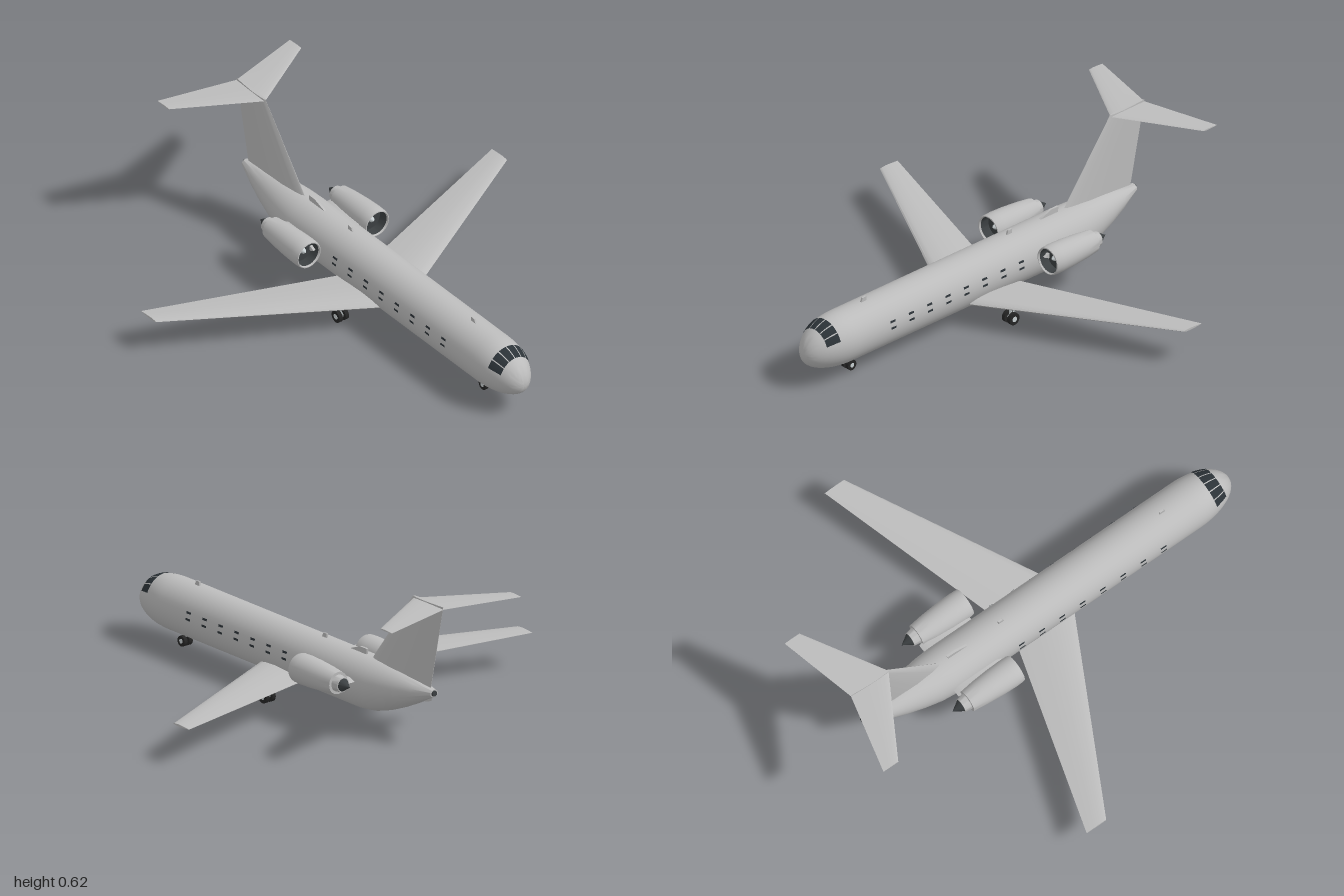
import * as THREE from 'three';
import { toCreasedNormals } from 'three/addons/utils/BufferGeometryUtils.js';

const paint = (name, color) => Object.assign(new THREE.MeshStandardMaterial({ color, side: THREE.DoubleSide }), { name });

// Closed solid through matching rings of [x, y, z], always wound outwards
function loft(rings, crease = 0.6) {
  const n = rings[0].length, pos = rings.flat(2), tris = [];
  rings.slice(1).forEach((_, i) => {
    for (let j = 0; j < n; j++) {
      const a = i * n + j, b = i * n + (j + 1) % n;
      tris.push([a, b, b + n], [a, b + n, a + n]);
    }
  });
  [0, rings.length - 1].forEach((r, end) => {
    const c = [0, 1, 2].map(k => rings[r].reduce((s, p) => s + p[k], 0) / n);
    const id = pos.length / 3;
    pos.push(...c);
    for (let j = 0; j < n; j++) {
      const a = r * n + j, b = r * n + (j + 1) % n;
      tris.push(end ? [id, a, b] : [id, b, a]);
    }
  });
  const v = i => new THREE.Vector3(pos[i * 3], pos[i * 3 + 1], pos[i * 3 + 2]);
  const volume = tris.reduce((s, [a, b, c]) => s + v(a).dot(v(b).cross(v(c))), 0);
  const geo = new THREE.BufferGeometry();
  geo.setAttribute('position', new THREE.Float32BufferAttribute(pos, 3));
  geo.setIndex(tris.flatMap(([a, b, c]) => (volume < 0 ? [a, c, b] : [a, b, c])));
  return toCreasedNormals(geo, crease);
}

// Flat upright plate from a [z, y] outline
const plate = (outline, x, half) =>
  loft([x - half, x + half].map(px => outline.map(([z, y]) => [px, y, z])));

// Aerofoil outline: [chord fraction, thickness fraction]
const upper = [[0, 0], [0.03, 0.4], [0.12, 0.75], [0.35, 1], [0.65, 0.7], [1, 0.06]];
const foil = [...upper, ...upper.slice(1).reverse().map(([u, t]) => [u, -t])];

// Tail stations: z, half width, bottom, top
const tail = [
  [-0.44, 0.109, 0.057, 0.286], [-0.52, 0.103, 0.067, 0.285], [-0.6, 0.09, 0.092, 0.281],
  [-0.68, 0.073, 0.126, 0.274], [-0.76, 0.051, 0.165, 0.263], [-0.855, 0.02, 0.217, 0.249],
];

// Fuselage section at z
function section(z) {
  if (z > 0.78) {
    const t = Math.min(1, (z - 0.78) / 0.215);
    return { rx: 0.109 * Math.sqrt(1 - t * t), ry: 0.1145 * Math.sqrt(1 - t ** 2.3), cy: 0.1715 - 0.018 * t ** 4 };
  }
  let i = 0;
  while (i < tail.length - 2 && z < tail[i + 1][0]) i++;
  const k = THREE.MathUtils.clamp((tail[i][0] - z) / (tail[i][0] - tail[i + 1][0]), 0, 1);
  const [, w, lo, hi] = tail[i].map((s, q) => s + (tail[i + 1][q] - s) * k);
  return { rx: w, ry: (hi - lo) / 2, cy: (hi + lo) / 2 };
}
function skin(z, a, lift = 0) {
  const { rx, ry, cy } = section(z);
  return [(rx + lift) * Math.cos(a), cy + (ry + lift) * Math.sin(a), z];
}

// Thin pane that follows the fuselage skin
function pane(z0, z1, a0, a1) {
  const geo = new THREE.PlaneGeometry(1, 1, 6, 6), p = geo.attributes.position;
  for (let i = 0; i < p.count; i++) {
    const a = a0 + (a1 - a0) * (p.getY(i) + 0.5), z = z1 + (z0 - z1) * (p.getX(i) + 0.5);
    p.setXYZ(i, ...skin(z, a, 0.0025));
  }
  geo.computeVertexNormals();
  return geo;
}

// Turned part along z from [radius, z], listed rear to front
const turned = pts =>
  toCreasedNormals(new THREE.LatheGeometry(pts.map(p => new THREE.Vector2(...p)), 32).rotateX(Math.PI / 2), 0.6);

export function createModel() {
  const model = new THREE.Group();
  model.name = 'jetAirliner';
  const grey = paint('bodyGrey', 0xbcbcbc);
  const dark = paint('darkGrey', 0x3c4042);
  const glass = paint('windowGlass', 0x2c3338);
  const black = paint('tyreBlack', 0x252525);
  const light = paint('lightMetal', 0xc9d0d2);
  const add = (name, geo, mat, x = 0, y = 0, z = 0, parent = model) => {
    const mesh = new THREE.Mesh(geo, mat);
    mesh.name = name;
    mesh.position.set(x, y, z);
    parent.add(mesh);
    return mesh;
  };

  // Fuselage
  const zs = tail.map(s => s[0]).reverse();
  zs.push(0.2);
  for (let i = 0; i <= 14; i++) zs.push(0.78 + 0.2149 * Math.sin(i / 14 * Math.PI / 2));
  add('fuselage', loft(zs.map(z => Array.from({ length: 40 }, (_, j) => skin(z, j / 40 * Math.PI * 2))), 0.9), grey);
  add('tailExhaust', new THREE.CylinderGeometry(0.012, 0.014, 0.008, 16).rotateX(-Math.PI / 2), dark, 0, 0.233, -0.857);
  add('tailSkid', plate([[-0.8, 0.2], [-0.8, 0.185], [-0.83, 0.193], [-0.84, 0.21]], 0, 0.006), grey);

  // Cockpit and cabin windows
  for (let i = 0; i < 6; i++) {
    const a = 0.38 + i * 0.397;
    add('cockpitWindow', pane(0.87, 0.93, a + 0.025, a + 0.372), glass);
  }
  for (let i = 0; i < 8; i++) {
    const z = 0.59 - i * 0.1025;
    for (const [lo, hi] of [[0.27, 0.35], [0.025, 0.105]]) {
      add('cabinWindowLeft', pane(z - 0.014, z + 0.014, lo, hi), glass);
      add('cabinWindowRight', pane(z - 0.014, z + 0.014, Math.PI - hi, Math.PI - lo), glass);
    }
  }

  // Tail fin: y, leading z, trailing z, half thickness
  const finStations = [[0.225, -0.42, -0.828, 0.02], [0.285, -0.465, -0.842, 0.018], [0.624, -0.722, -0.914, 0.008]];
  add('tailFin', loft(finStations.map(([y, le, te, h]) => foil.map(([u, t]) => [t * h, y, le + (te - le) * u]))), grey);
  add('dorsalIntake', plate([[-0.32, 0.28], [-0.335, 0.29], [-0.39, 0.31], [-0.43, 0.31], [-0.425, 0.28]], 0, 0.005), grey);

  // Aerials
  add('frontAerial', plate([[0.675, 0.28], [0.665, 0.303], [0.645, 0.305], [0.645, 0.28]], 0, 0.004), grey);
  add('midAerial', plate([[-0.14, 0.28], [-0.15, 0.303], [-0.17, 0.305], [-0.17, 0.28]], 0, 0.004), grey);
  add('bellyAerial', plate([[0.265, 0.065], [0.24, 0.033], [0.23, 0.033], [0.23, 0.065]], 0, 0.004), grey);

  // Wheel pair with hubs
  const wheelPair = (name, x, z, r, gap) => {
    const gear = new THREE.Group();
    gear.name = name;
    gear.position.set(x, r, z);
    model.add(gear);
    for (const s of [-1, 1]) {
      add('tyre', new THREE.CylinderGeometry(r, r, 0.017, 24).rotateZ(Math.PI / 2), black, s * gap, 0, 0, gear);
      add('hub', new THREE.CylinderGeometry(r * 0.45, r * 0.45, 0.019, 16).rotateZ(Math.PI / 2), light, s * gap, 0, 0, gear);
    }
    add('axle', new THREE.CylinderGeometry(0.004, 0.004, gap * 2, 10).rotateZ(Math.PI / 2), light, 0, 0, 0, gear);
    add('strut', new THREE.CylinderGeometry(0.006, 0.006, 0.085, 12), light, 0, 0.0425, 0, gear);
  };
  wheelPair('noseGear', 0, 0.74, 0.023, 0.0135);

  for (const s of [-1, 1]) {
    const side = s > 0 ? 'left' : 'right';
    // Wing and tailplane stations: x, y, leading z, trailing z, half thickness
    const surface = stations =>
      loft(stations.map(([x, y, le, te, h]) => foil.map(([u, t]) => [s * x, y + t * h, le + (te - le) * u])));
    add(side + 'Wing', surface([[0.03, 0.107, 0.182, -0.112, 0.021], [0.11, 0.111, 0.14, -0.137, 0.02], [0.915, 0.156, -0.286, -0.385, 0.005]]), grey);
    add(side + 'Tailplane', surface([[0, 0.614, -0.725, -0.915, 0.006], [0.345, 0.614, -0.925, -1, 0.003]]), grey);

    // Engine
    const engine = new THREE.Group();
    engine.name = side + 'Engine';
    engine.position.set(s * 0.178, 0.209, 0);
    model.add(engine);
    add('nacelle', turned([[0.034, -0.455], [0.048, -0.455], [0.056, -0.39], [0.062, -0.31], [0.064, -0.25],
      [0.063, -0.218], [0.06, -0.207], [0.056, -0.206], [0.053, -0.214]]), grey, 0, 0, 0, engine);
    add('intakeWall', turned([[0.053, -0.214], [0.051, -0.26]]), dark, 0, 0, 0, engine);
    add('fan', new THREE.CircleGeometry(0.052, 32), dark, 0, 0, -0.255, engine);
    add('spinner', turned([[0.014, -0.255], [0.01, -0.24], [0, -0.23]]), light, 0, 0, 0, engine);
    add('nozzle', turned([[0.024, -0.487], [0.031, -0.487], [0.036, -0.455]]), grey, 0, 0, 0, engine);
    add('exhaustCone', turned([[0, -0.53], [0.028, -0.486]]), dark, 0, 0, 0, engine);
    add(side + 'Pylon', plate([[-0.23, 0.2], [-0.25, 0.212], [-0.44, 0.212], [-0.47, 0.2], [-0.44, 0.19], [-0.25, 0.19]], s * 0.112, 0.026), grey);

    // Main gear and door
    wheelPair(side + 'MainGear', s * 0.179, 0, 0.027, 0.016);
    add(side + 'GearDoor', new THREE.BoxGeometry(0.004, 0.03, 0.04), light, s * 0.213, 0.088, 0);
  }
  return model;
}
